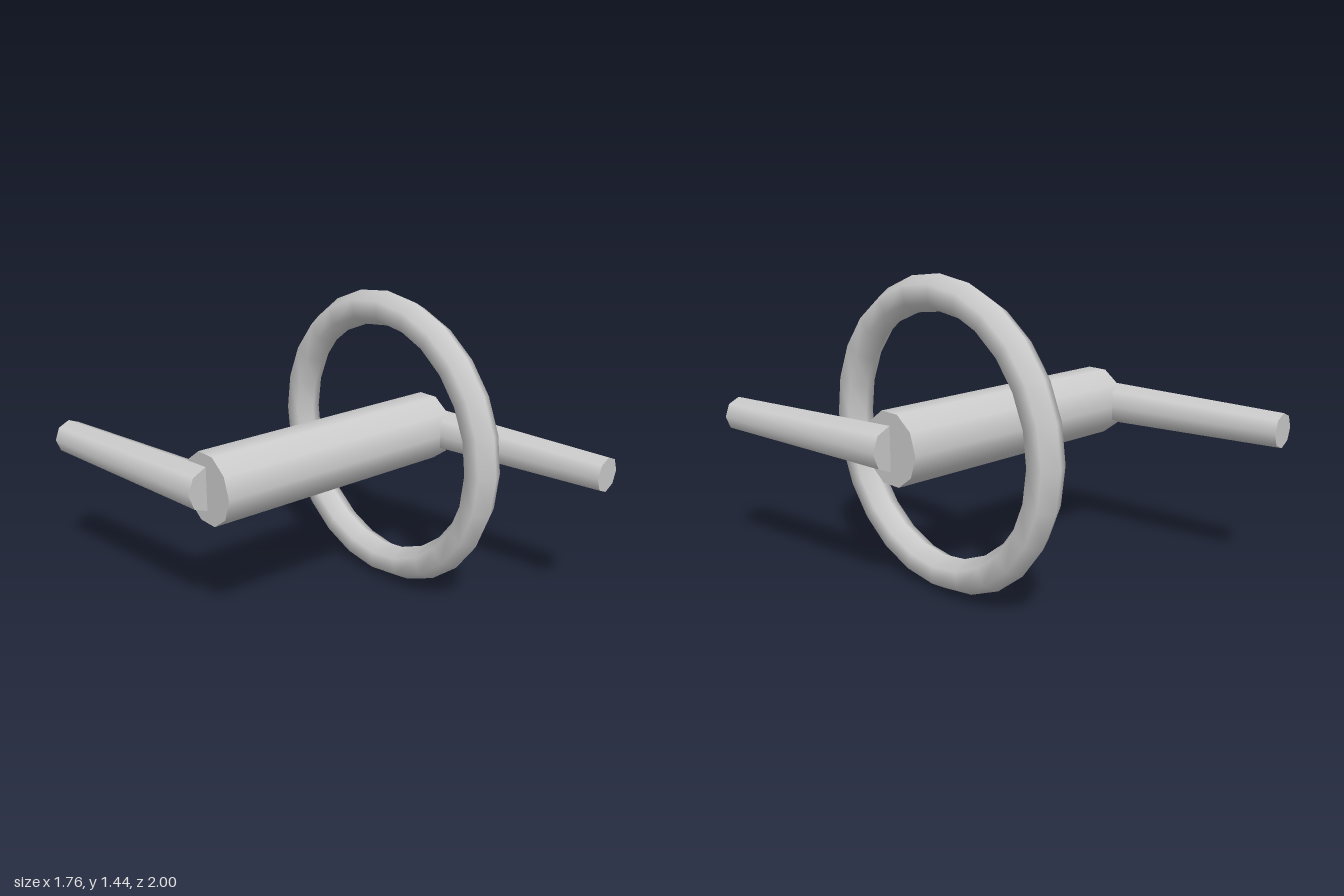
import * as THREE from 'three';

const CENTER_Y = 0.72;

export function createModel() {
  const model = new THREE.Group();
  model.name = 'crankWithRing';
  const grey = new THREE.MeshStandardMaterial({ color: 0xcccccc });
  grey.name = 'light grey';

  const add = (name, geometry) => {
    const mesh = new THREE.Mesh(geometry, grey);
    mesh.name = name;
    mesh.position.y = CENTER_Y;
    model.add(mesh);
    return mesh;
  };

  // Ten-sided shaft lying along x
  add('shaft', new THREE.CylinderGeometry(0.168, 0.168, 1.32, 10).rotateZ(Math.PI / 2));

  // Six-sided ring around the shaft
  add('ring', new THREE.TorusGeometry(0.637, 0.082, 6, 24).rotateY(Math.PI / 2)).position.x = 0.372;

  // Tapered eight-sided arms, one forward and one backward
  const dx = 0.14, dz = 0.988;
  for (const side of [1, -1]) {
    const arm = new THREE.CylinderGeometry(0.082, 0.102, Math.hypot(dx, dz), 8)
      .rotateX(Math.PI / 2)
      .rotateY(Math.atan2(dx, dz))
      .translate(0.66 + dx / 2, 0, dz / 2);
    if (side < 0) arm.rotateY(Math.PI);
    add(side > 0 ? 'leftArm' : 'rightArm', arm);
  }
  return model;
}
